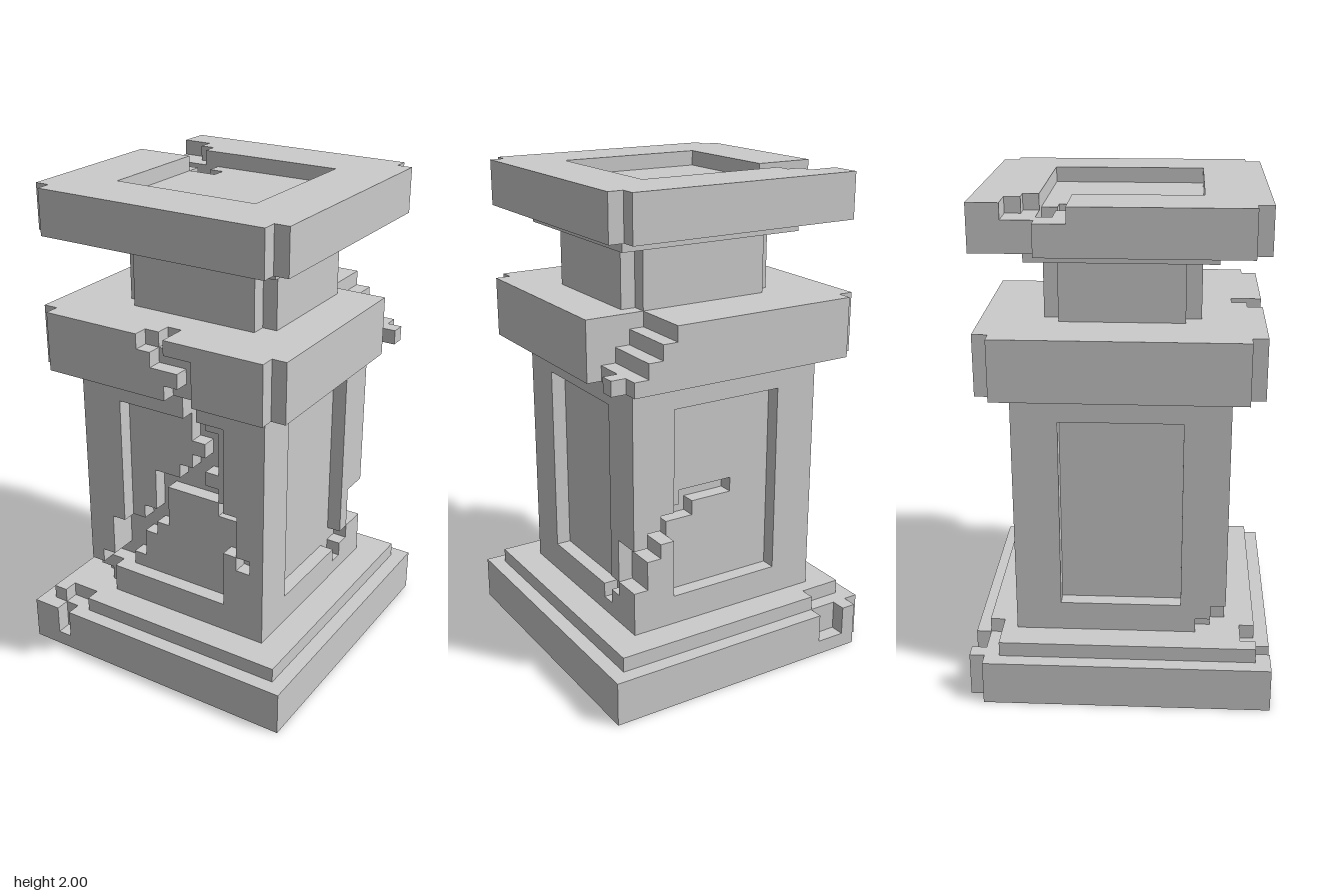
import * as THREE from 'three';

const U = 2 / 33;               // edge of one block
const DIM = [20, 33, 20];       // grid size, x and z offset by 10
const OFF = [10, 0, 10];
const cells = new Map();        // block key -> part name
const key = (x, y, z) => (x + 32) + (y + 1) * 64 + (z + 32) * 4096;

function each(x0, x1, y0, y1, z0, z1, fn) {
  for (let x = x0; x < x1; x++)
    for (let y = y0; y < y1; y++)
      for (let z = z0; z < z1; z++) fn(key(x, y, z));
}
const fill = (part, ...b) => each(...b, k => cells.set(k, part));
const carve = (...b) => each(...b, k => cells.delete(k));

// Remove the four vertical corner columns of a slab
function notch(x0, x1, y0, y1, z0, z1) {
  for (const x of [x0, x1 - 1])
    for (const z of [z0, z1 - 1]) carve(x, x + 1, y0, y1, z, z + 1);
}

function buildBlocks() {
  cells.clear();
  // Stacked tiers
  fill('base', -10, 10, 0, 3, -10, 10);
  fill('plinth', -9, 9, 3, 4, -9, 9);
  fill('shaft', -7, 7, 4, 21, -7, 7);
  fill('collar', -9, 9, 21, 25, -9, 9);
  fill('neck', -5, 6, 25, 29, -5, 5);
  fill('neckRing', -6, 7, 29, 30, -6, 6);
  fill('cap', -9, 9, 30, 33, -9, 9);
  notch(-9, 9, 21, 25, -9, 9);
  notch(-5, 6, 25, 29, -5, 5);
  notch(-9, 9, 30, 33, -9, 9);

  // Sunken panels on the shaft and bowl in the cap
  for (const s of [-7, 6]) {
    carve(-4, 4, 6, 19, s, s + 1);
    carve(s, s + 1, 6, 19, -4, 4);
  }
  carve(-5, 5, 32, 33, -5, 5);

  // Front crack: [row, from x, to x, depth]
  const front = [
    [20, 1, 2, 2], [19, 1, 2, 2], [18, 1, 2, 2], [17, 1, 3, 2], [16, 2, 3, 2],
    [15, 1, 3, 2], [14, 0, 2, 2], [13, -2, 3, 2], [12, -2, -1, 2], [12, 3, 5, 2],
    [11, -2, -1, 2], [11, 4, 5, 1], [10, -3, -1, 2], [10, 4, 5, 1], [9, -5, -2, 2],
    [9, 5, 6, 1], [8, -5, -3, 2], [7, -5, -3, 2], [6, -6, -4, 2], [5, -7, -5, 1],
    [4, -7, -6, 2], [4, -6, -5, 1],
  ];
  for (const [y, a, b, d] of front) carve(a, b, y, y + 1, 7 - d, 7);
  // Front crack through the collar
  carve(-1, 0, 24, 25, 8, 9);
  carve(0, 1, 24, 25, 7, 9);
  carve(0, 3, 23, 24, 8, 9);
  carve(2, 3, 22, 23, 8, 9);
  carve(1, 3, 21, 22, 8, 9);
  // Front crack through plinth and base
  carve(-8, -6, 3, 4, 8, 9);
  carve(-8, -7, 1, 3, 9, 10);

  // Crack on the +x face of the shaft
  for (const [y, a, b] of [[8, -7, -6], [7, -7, -5], [6, -5, -4], [5, -4, -3]])
    carve(6, 7, y, y + 1, a, b);
  // Crack on the back of the shaft
  for (const [y, a, b] of [[8, 6, 7], [9, 5, 7], [10, 4, 6], [11, 2, 5], [12, -1, 3]])
    carve(a, b, y, y + 1, -7, -5);

  // Broken collar corner
  carve(5, 9, 24, 25, -9, -5);
  carve(6, 9, 23, 24, -9, -5);
  carve(7, 9, 22, 23, -9, -5);
  carve(8, 9, 21, 22, -7, -5);

  // Broken cap corner
  carve(-9, -8, 30, 33, -8, -5);
  for (const [z, x] of [[-7, -6], [-6, -5], [-5, -4], [-4, -3]])
    carve(-9, x, 32, 33, z, z + 1);
  carve(-7, -4, 30, 32, -5, -4);
  carve(-5, -3, 31, 32, -4, -3);

  // Chipped back corner of base and plinth
  carve(-10, -9, 0, 3, -10, -9);
  carve(-8, -6, 1, 3, -10, -9);
  carve(-9, -6, 3, 4, -9, -8);
}

// Outer skin of one part, with flush block faces merged into rectangles
function skin(part) {
  const pos = [];
  const at = p => cells.get(key(p[0] - OFF[0], p[1], p[2] - OFF[2]));
  for (let d = 0; d < 3; d++) {
    const u = (d + 1) % 3, v = (d + 2) % 3;
    for (const s of [-1, 1]) for (let i = 0; i < DIM[d]; i++) {
      const done = new Set();
      const open = (a, b) => {
        if (a >= DIM[u] || b >= DIM[v] || done.has(a * 64 + b)) return false;
        const p = [];
        p[d] = i; p[u] = a; p[v] = b;
        if (at(p) !== part) return false;
        p[d] += s;
        return at(p) === undefined;
      };
      for (let b = 0; b < DIM[v]; b++) for (let a = 0; a < DIM[u]; a++) {
        if (!open(a, b)) continue;
        let w = 1, h = 1;
        while (open(a + w, b)) w++;
        const rowOpen = r => {
          for (let k = 0; k < w; k++) if (!open(a + k, r)) return false;
          return true;
        };
        while (rowOpen(b + h)) h++;
        for (let k = 0; k < w; k++)
          for (let r = 0; r < h; r++) done.add((a + k) * 64 + b + r);
        const corner = (m, n) => {
          const p = [];
          p[d] = i + (s > 0 ? 1 : 0); p[u] = a + m; p[v] = b + n;
          return p.map((c, j) => (c - OFF[j]) * U);
        };
        const q = [corner(0, 0), corner(w, 0), corner(w, h), corner(0, h)];
        if (s < 0) q.reverse();
        for (const j of [0, 1, 2, 0, 2, 3]) pos.push(...q[j]);
      }
    }
  }
  const g = new THREE.BufferGeometry();
  g.setAttribute('position', new THREE.Float32BufferAttribute(pos, 3));
  g.computeVertexNormals();
  return g;
}

export function createModel() {
  buildBlocks();
  const group = new THREE.Group();
  group.name = 'crackedPedestal';
  const material = new THREE.MeshStandardMaterial({ color: 0xcccccc, flatShading: true });
  for (const part of ['base', 'plinth', 'shaft', 'collar', 'neck', 'neckRing', 'cap']) {
    const mesh = new THREE.Mesh(skin(part), material);
    mesh.name = part;
    group.add(mesh);
  }
  return group;
}
